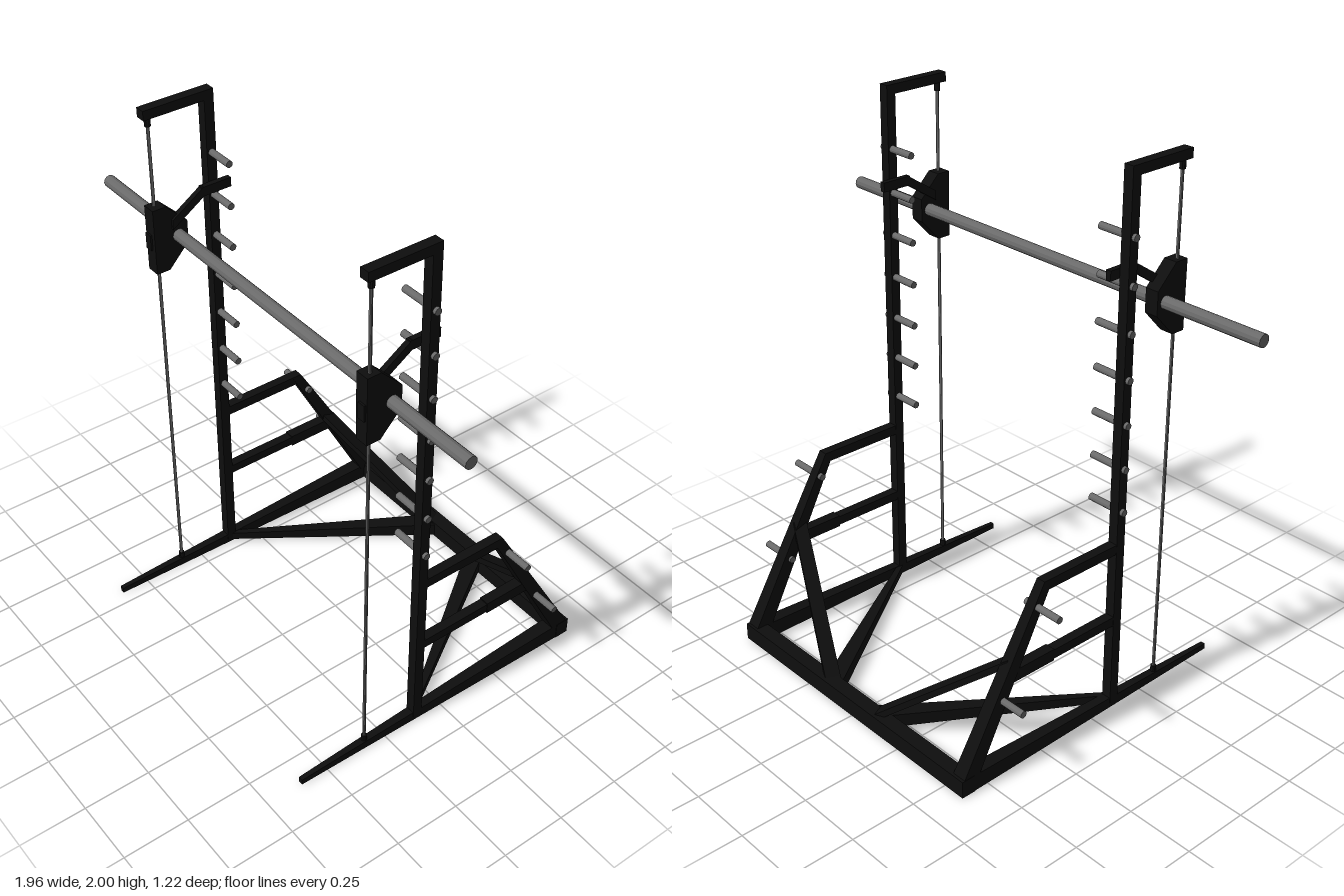
import * as THREE from 'three';

const mat = (color) => new THREE.MeshStandardMaterial({ color, flatShading: true });
const V = (x, y, z) => new THREE.Vector3(x, y, z);

export function createModel() {
  const root = new THREE.Group();
  const black = mat(0x0e0e0e), steel = mat(0x6a6a6a);
  const MID = 0.023; // frame centre in x; the bar is centred on x = 0

  const add = (name, geo, material, parent = root) => {
    const m = new THREE.Mesh(geo, material);
    m.name = name;
    parent.add(m);
    return m;
  };

  const box = (name, parent, x, y0, y1, z0, z1, w) =>
    add(name, new THREE.BoxGeometry(w, y1 - y0, z1 - z0), black, parent)
      .position.set(x, (y0 + y1) / 2, (z0 + z1) / 2);

  // Tapered beam from a to b; each end is [width, height], height lies along up
  const beam = (name, parent, a, b, endA, endB, up) => {
    const side = up.clone().cross(b.clone().sub(a)).normalize();
    const geo = new THREE.BoxGeometry(1, 1, 1);
    const p = geo.attributes.position;
    for (let i = 0; i < p.count; i++) {
      const atB = p.getZ(i) > 0, [w, h] = atB ? endB : endA;
      const v = (atB ? b : a).clone().addScaledVector(side, p.getX(i) * w).addScaledVector(up, p.getY(i) * h);
      p.setXYZ(i, v.x, v.y, v.z);
    }
    geo.computeVertexNormals();
    add(name, geo, black, parent);
  };

  // Horizontal round rod along x
  const rod = (name, parent, x0, x1, y, z, r) => {
    const geo = new THREE.CylinderGeometry(r, r, Math.abs(x1 - x0), 12);
    geo.rotateZ(Math.PI / 2);
    add(name, geo, steel, parent).position.set((x0 + x1) / 2, y, z);
  };

  // Carriage side plate, drawn as (z, y)
  const plate = new THREE.Shape([
    [0.36, 1.385], [0.36, 1.635], [0.308, 1.635], [0.228, 1.555], [0.228, 1.47], [0.308, 1.385],
  ].map(([z, y]) => new THREE.Vector2(-z, y)));

  const UP = V(0, 1, 0), FWD = V(0, 0, 1);

  for (const s of [-1, 1]) {
    const g = new THREE.Group();
    g.name = s > 0 ? 'leftFrame' : 'rightFrame';
    g.position.x = MID;
    root.add(g);
    const X = s * 0.582;

    // Upright, top arm and side bars
    box('upright', g, X, 0.02, 2, 0.09, 0.127, 0.038);
    box('topArm', g, X, 1.965, 2, 0.09, 0.36, 0.038);
    box('upperSideBar', g, X, 0.638, 0.675, -0.23, 0.1, 0.036);
    box('middleSideBar', g, X, 0.35, 0.385, -0.38, 0.1, 0.036);
    box('middleBarSleeve', g, X, 0.345, 0.39, -0.385, -0.195, 0.04);

    // Floor rail, sloping rear leg and braces
    beam('floorRail', g, V(X, 0.0325, -0.61), V(X, 0.014, 0.61), [0.056, 0.065], [0.018, 0.022], UP);
    beam('rearLeg', g, V(X, 0.05, -0.576), V(X, 0.675, -0.225), [0.056, 0.07], [0.036, 0.04], FWD);
    beam('floorBrace', g, V(s * 0.12, 0.032, -0.58), V(s * 0.57, 0.025, 0.1), [0.065, 0.052], [0.02, 0.03], UP);
    beam('slopedBrace', g, V(s * 0.12, 0.045, -0.58), V(s * 0.575, 0.415, -0.37), [0.055, 0.028], [0.05, 0.028], UP);

    // Pegs on the upright (inward) and the rear leg (outward)
    for (let i = 0; i < 7; i++) rod('rackPeg', g, s * 0.613, s * 0.458, 0.797 + i * 0.162, 0.108, 0.013);
    for (const [y, z] of [[0.592, -0.275], [0.298, -0.43]])
      rod('storagePeg', g, s * 0.548, s * 0.703, y, z, 0.013);

    // Guide rod with end collars
    add('guideRod', new THREE.CylinderGeometry(0.006, 0.006, 1.95, 10), steel, g).position.set(X, 0.995, 0.335);
    for (const y of [0.04, 1.95])
      add('guideCollar', new THREE.CylinderGeometry(0.011, 0.011, 0.035, 10), black, g).position.set(X, y, 0.335);

    // Sliding carriage with hook
    const geo = new THREE.ExtrudeGeometry(plate, { depth: 0.052, bevelEnabled: false });
    geo.translate(0, 0, -0.026);
    geo.rotateY(Math.PI / 2);
    add('carriage', geo, black, g).position.x = s * 0.577;
    box('carriageGuide', g, X, 1.475, 1.535, 0.33, 0.367, 0.03);
    const hx = s * 0.552;
    beam('hookArm', g, V(hx, 1.56, 0.29), V(hx, 1.645, 0.16), [0.02, 0.036], [0.02, 0.036], UP);
    box('hookTip', g, hx, 1.627, 1.662, 0.05, 0.168, 0.02);
  }

  // Rear floor bar and barbell
  box('rearFloorBar', root, MID, 0, 0.065, -0.613, -0.557, 1.222);
  rod('barbell', root, -0.98, 0.98, 1.51, 0.265, 0.023);

  return root;
}
